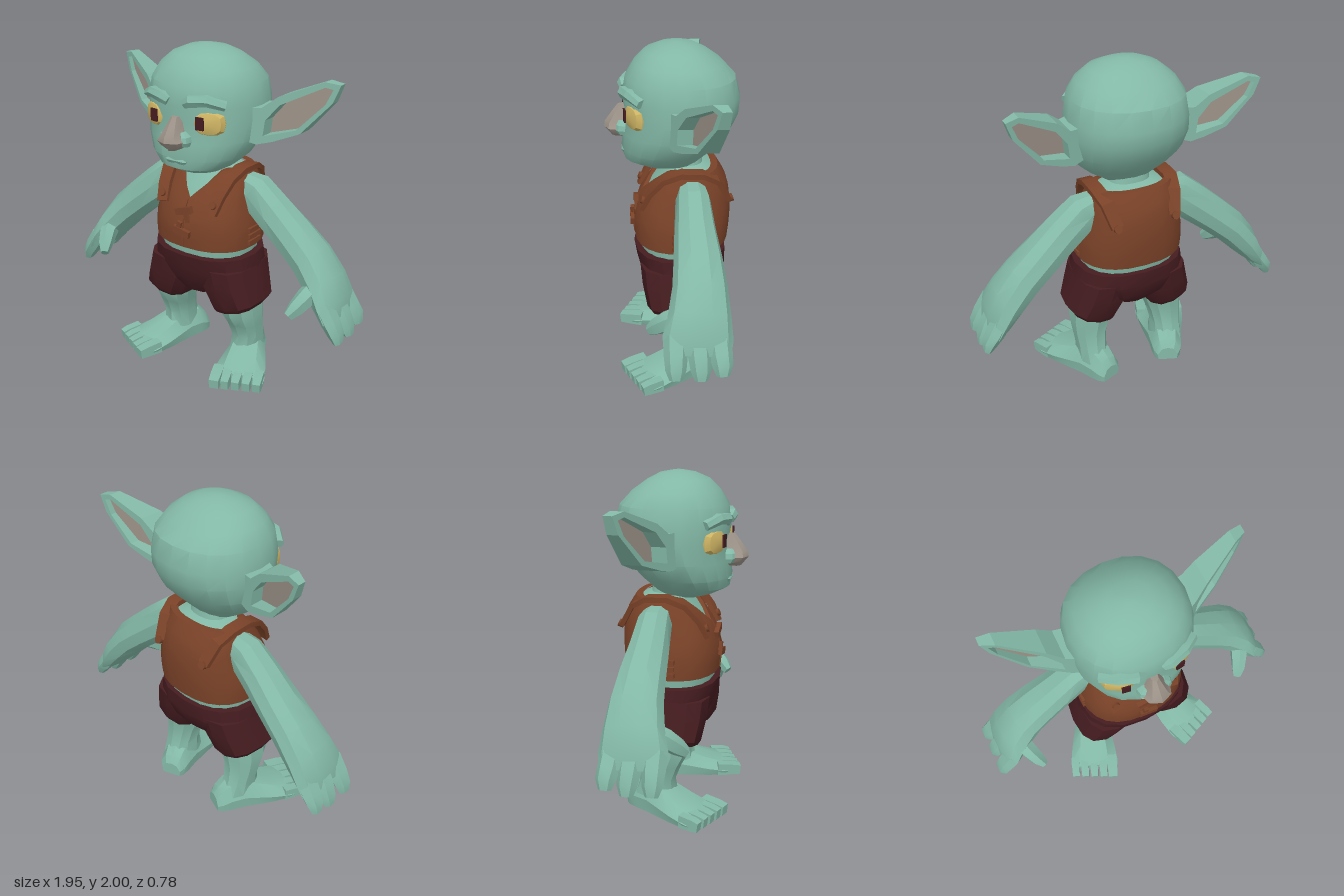
import * as THREE from 'three';
import { toCreasedNormals } from 'three/addons/utils/BufferGeometryUtils.js';

const V = (x, y, z) => new THREE.Vector3(x, y, z);
const material = (name, color) => {
  const m = new THREE.MeshStandardMaterial({ color });
  m.name = name;
  return m;
};

// Superellipse coordinates on a unit circle
const bend = (v, p) => Math.sign(v) * Math.pow(Math.abs(v), 2 / p);
const unit = (i, n, p, turn = 0) => {
  const t = ((i + turn) / n) * Math.PI * 2;
  return [bend(Math.sin(t), p), bend(Math.cos(t), p)];
};

// Skin over a list of point rings, wound outwards
function loft(rings, caps = true, crease = 0.5) {
  const n = rings[0].length, pos = [];
  const tri = (a, b, c) => pos.push(...a.toArray(), ...b.toArray(), ...c.toArray());
  for (let r = 0; r < rings.length - 1; r++) for (let i = 0; i < n; i++) {
    const j = (i + 1) % n, A = rings[r], B = rings[r + 1];
    tri(A[i], A[j], B[j]);
    tri(A[i], B[j], B[i]);
  }
  if (caps) [rings[0], rings[rings.length - 1]].forEach((R, end) => {
    const c = R.reduce((s, p) => s.add(p), V(0, 0, 0)).divideScalar(n);
    for (let i = 0; i < n; i++) {
      const j = (i + 1) % n;
      end ? tri(c, R[i], R[j]) : tri(c, R[j], R[i]);
    }
  });
  let volume = 0;
  for (let k = 0; k < pos.length; k += 9)
    volume += V(...pos.slice(k, k + 3)).dot(V(...pos.slice(k + 3, k + 6)).cross(V(...pos.slice(k + 6, k + 9))));
  const g = new THREE.BufferGeometry();
  g.setAttribute('position', new THREE.Float32BufferAttribute(pos, 3));
  if (volume < 0) flip(g);
  return toCreasedNormals(g, crease);
}

function flip(g) {
  for (const a of Object.values(g.attributes)) for (let k = 0; k < a.count; k += 3)
    for (let c = 0; c < a.itemSize; c++) {
      const t = a.getComponent(k + 1, c);
      a.setComponent(k + 1, c, a.getComponent(k + 2, c));
      a.setComponent(k + 2, c, t);
    }
  return g;
}

// Level ring: height, centre x, half width, front z, back z; tilt lifts the outer side
const ring = ([y, cx, hw, zf, zb, tilt = 0], n, p = 2.2) => Array.from({ length: n }, (_, i) => {
  const [s, c] = unit(i, n, p);
  return V(cx + hw * s, y + tilt * s, (zf + zb) / 2 + ((zf - zb) / 2) * c);
});
const stack = (rows, n, p) => loft(rows.map(r => ring(r, n, p)));

// Limb along stations [x, y, z, thickness radius, width radius]; ref is the width direction
function limb(stations, ref, n = 8, p = 2.2, turn = 0) {
  const pts = stations.map(s => V(s[0], s[1], s[2]));
  return loft(stations.map((s, k) => {
    const T = pts[Math.min(k + 1, pts.length - 1)].clone().sub(pts[Math.max(k - 1, 0)]).normalize();
    const u = ref.clone().addScaledVector(T, -T.dot(ref)).normalize(), v = T.clone().cross(u);
    return Array.from({ length: n }, (_, i) => {
      const [a, b] = unit(i, n, p, turn);
      return pts[k].clone().addScaledVector(v, a * s[3]).addScaledVector(u, b * s[4]);
    });
  }));
}
const strip = (stations, ref) => limb(stations, ref, 4, 2, 0.5);

const X = V(1, 0, 0), Y = V(0, 1, 0), Z = V(0, 0, 1);

// Torso measurements: y, half width, front z, back z
const TORSO = [[0.7, 0.31, 0.21, -0.31], [0.82, 0.325, 0.225, -0.33], [0.95, 0.33, 0.235, -0.345],
  [1.08, 0.3, 0.2, -0.345], [1.18, 0.28, 0.14, -0.33], [1.26, 0.265, 0.07, -0.29], [1.31, 0.23, 0.03, -0.25]];
function torsoAt(y) {
  let k = 0;
  while (k < TORSO.length - 2 && y > TORSO[k + 1][0]) k++;
  const a = TORSO[k], b = TORSO[k + 1], t = (y - a[0]) / (b[0] - a[0]);
  return a.map((v, i) => v + (b[i] - v) * t);
}

export function createModel() {
  const root = new THREE.Group();
  root.name = 'goblin';
  const skin = material('green skin', 0x83b8a6), leather = material('brown leather', 0x7a4228);
  const cloth = material('maroon cloth', 0x451c20), grey = material('grey skin', 0x9c9288);
  const yellow = material('yellow eye', 0xcfb564);
  grey.side = THREE.DoubleSide;

  const add = (name, g, mat) => {
    const m = new THREE.Mesh(g, mat);
    m.name = name;
    root.add(m);
  };
  const pair = (name, g, mat) => {
    const flat = g.index ? g.toNonIndexed() : g;
    add('left' + name, flat, mat);
    add('right' + name, flip(flat.clone().scale(-1, 1, 1)), mat);
  };
  const box = (w, h, d, x, y, z, rz = 0, ry = 0) =>
    new THREE.BoxGeometry(w, h, d).rotateZ(rz).rotateY(ry).translate(x, y, z);

  // Head
  add('head', stack([[1.265, 0, 0.07, 0.1, -0.12], [1.295, 0, 0.145, 0.19, -0.14], [1.34, 0, 0.22, 0.28, -0.18],
    [1.4, 0, 0.285, 0.292, -0.24], [1.5, 0, 0.335, 0.285, -0.33], [1.61, 0, 0.35, 0.27, -0.38],
    [1.7, 0, 0.348, 0.285, -0.388], [1.81, 0, 0.33, 0.265, -0.36], [1.89, 0, 0.28, 0.215, -0.285],
    [1.95, 0, 0.205, 0.155, -0.2], [1.985, 0, 0.12, 0.075, -0.13], [2, 0, 0.03, 0, -0.05]], 20), skin);
  add('nose', stack([[1.46, 0, 0.032, 0.345, 0.2], [1.485, 0, 0.075, 0.365, 0.2], [1.515, 0, 0.088, 0.39, 0.2],
    [1.545, 0, 0.065, 0.385, 0.2], [1.6, 0, 0.042, 0.345, 0.2], [1.645, 0, 0.025, 0.31, 0.2]], 8, 2.2), grey);
  pair('Nostril', stack([[1.485, 0.07, 0.024, 0.31, 0.22], [1.51, 0.072, 0.03, 0.325, 0.22],
    [1.54, 0.068, 0.028, 0.32, 0.22], [1.565, 0.05, 0.012, 0.305, 0.22]], 8), skin);
  add('lip', limb([[-0.12, 1.395, 0.235, 0.008, 0.02], [-0.05, 1.388, 0.272, 0.02, 0.022],
    [0.05, 1.388, 0.272, 0.02, 0.022], [0.12, 1.395, 0.235, 0.008, 0.02]], Z, 6), skin);
  pair('Brow', limb([[0.055, 1.72, 0.265, 0.028, 0.03], [0.09, 1.74, 0.265, 0.035, 0.045],
    [0.18, 1.75, 0.235, 0.032, 0.045], [0.26, 1.722, 0.175, 0.026, 0.04]], Z, 6, 3), skin);
  pair('Eye', limb([[0.167, 1.62, 0.18, 0.093, 0.077], [0.179, 1.62, 0.213, 0.093, 0.077],
    [0.191, 1.62, 0.24, 0.072, 0.06], [0.196, 1.62, 0.25, 0.035, 0.03]], Y, 12, 2.6), yellow);
  pair('Pupil', box(0.048, 0.072, 0.0095, 0.157, 1.625, 0.273, 0, 0.14), cloth);

  // Ears: a rim, deep at the head and thin at the tip, around a thin grey membrane
  const outer = [[0.3, 1.69], [0.38, 1.69], [0.46, 1.755], [0.68, 1.845], [0.755, 1.83], [0.72, 1.73],
    [0.57, 1.55], [0.44, 1.5], [0.36, 1.48], [0.3, 1.5]].map(p => new THREE.Vector2(...p));
  const inner = [[0.39, 1.53], [0.55, 1.57], [0.685, 1.72], [0.72, 1.805], [0.68, 1.815], [0.47, 1.71],
    [0.4, 1.62]].map(p => new THREE.Vector2(...p));
  const sweepBack = g => {
    const p = g.attributes.position;
    for (let i = 0; i < p.count; i++) {
      const t = (0.755 - p.getX(i)) / 0.42;
      p.setZ(i, p.getZ(i) * (0.05 + 0.14 * t) - 0.215 + 0.15 * t);
    }
    g.computeVertexNormals();
    return g;
  };
  const rim = new THREE.Shape(outer);
  rim.holes.push(new THREE.Path(inner));
  pair('EarRim', sweepBack(new THREE.ExtrudeGeometry(rim, { depth: 1, bevelEnabled: false }).translate(0, 0, -0.5)), skin);
  pair('EarInside', sweepBack(new THREE.ShapeGeometry(new THREE.Shape(inner))), grey);

  // Torso and neck
  add('torso', stack([...TORSO.slice(0, 6).map(([y, w, f, b]) => [y, 0, w - 0.025, f - 0.025, b + 0.025]),
    [1.285, 0, 0.17, 0.03, -0.22], [1.3, 0, 0.125, 0.02, -0.18], [1.36, 0, 0.115, 0.02, -0.17]], 20, 2.4), skin);

  // Vest with a V neck; the last ring folds inwards as its edge
  const rows = Array.from({ length: 9 }, (_, k) => Array.from({ length: 24 }, (_, i) => {
    const [s, c] = unit(i, 24, 2.4);
    const top = c > 0 ? 1.12 + 0.17 * Math.min(1, Math.abs(s) / 0.6) : 1.29;
    const y = 0.83 + (top - 0.83) * Math.min(1, Math.max(0, (k - 1) / 6));
    const [, w, f, b] = torsoAt(y), off = k === 0 || k === 8 ? -0.04 : 0;
    return V((w + off) * s, y, (f + b) / 2 + ((f - b) / 2 + off) * c);
  }));
  add('vest', loft(rows, false), leather);
  pair('VestStrap', strip([[0.175, 1.07, 0.187, 0.02, 0.05], [0.195, 1.17, 0.137, 0.02, 0.055],
    [0.215, 1.255, 0.062, 0.022, 0.058], [0.23, 1.295, -0.04, 0.022, 0.06], [0.23, 1.29, -0.16, 0.022, 0.06],
    [0.21, 1.245, -0.245, 0.02, 0.055], [0.18, 1.12, -0.318, 0.02, 0.05]], X), leather);
  const button = z => new THREE.CylinderGeometry(0.022, 0.025, 0.03, 8).rotateX(Math.PI / 2 - 0.4 * Math.sign(z)).translate(0.183, 1.12, z);
  pair('FrontButton', button(0.178), leather);
  pair('BackButton', button(-0.328), leather);
  add('vestSeam', strip([[0, 0.835, 0.225, 0.008, 0.008], [0, 0.95, 0.234, 0.008, 0.008],
    [0, 1.08, 0.2, 0.008, 0.008], [0, 1.12, 0.176, 0.008, 0.008]], Z), leather);
  for (const [y, z, a] of [[1.06, 0.215, 0.3], [0.935, 0.238, -0.2]]) {
    add('claspBar', box(0.115, 0.042, 0.028, 0, y, z, a), leather);
    add('claspLoop', box(0.03, 0.08, 0.02, a > 0 ? 0.02 : -0.02, y - a * 0.1, z, a), leather);
  }
  for (const y of [0.865, 0.905, 0.945]) pair('SideLace', box(0.022, 0.025, 0.12, 0.325, y, -0.04), leather);

  // Shorts
  add('shortsWaist', stack([[0.5, 0, 0.14, 0.13, -0.22], [0.58, 0, 0.27, 0.18, -0.29], [0.68, 0, 0.35, 0.215, -0.325],
    [0.775, 0, 0.335, 0.23, -0.325], [0.78, 0, 0.29, 0.19, -0.29]], 16, 2.4), cloth);
  pair('ShortsLeg', stack([[0.45, 0.255, 0.12, 0.12, -0.2, 0.03], [0.42, 0.255, 0.13, 0.145, -0.225, 0.03],
    [0.45, 0.255, 0.15, 0.165, -0.245, 0.035], [0.58, 0.205, 0.168, 0.19, -0.28, 0.02],
    [0.7, 0.18, 0.165, 0.2, -0.3]], 12, 2.6), cloth);

  // Legs and splayed feet
  pair('Leg', stack([[0.1, 0.26, 0.095, 0.03, -0.24], [0.2, 0.265, 0.092, 0.015, -0.2], [0.29, 0.262, 0.105, 0.05, -0.185],
    [0.37, 0.25, 0.12, 0.095, -0.19], [0.52, 0.225, 0.13, 0.11, -0.2]], 10, 2.4), skin);
  const place = g => g.rotateY(0.36).translate(0.26, 0, -0.115);
  // Foot sections: z, half width, height
  const foot = [[-0.165, 0.065, 0.09], [-0.135, 0.088, 0.14], [-0.08, 0.1, 0.19], [0.01, 0.11, 0.2],
    [0.1, 0.13, 0.165], [0.2, 0.15, 0.12], [0.3, 0.163, 0.085], [0.335, 0.16, 0.07]];
  pair('Foot', place(loft(foot.map(([z, w, h]) => [[-0.92, 0], [-1, 0.4], [-0.6, 0.88], [0, 1], [0.6, 0.88], [1, 0.4], [0.92, 0]]
    .map(([a, b]) => V(a * w, b * h, z))))), skin);
  for (let i = 0; i < 5; i++) {
    const x = -0.124 + i * 0.064, w = i ? 0.036 : 0.046, end = 0.42 - i * 0.006;
    pair('Toe', place(strip([[x, 0.04, 0.27, 0.056, w], [x, 0.036, 0.36, 0.05, w], [x, 0.03, end, 0.042, w * 0.9]], X)), skin);
  }

  // Arms, fingers and thumbs
  pair('Arm', limb([[0.2, 1.2, -0.1, 0.07, 0.08], [0.29, 1.15, -0.1, 0.12, 0.1], [0.42, 1.045, -0.1, 0.12, 0.115],
    [0.56, 0.93, -0.105, 0.115, 0.135], [0.68, 0.825, -0.105, 0.112, 0.15], [0.78, 0.71, -0.095, 0.1, 0.17],
    [0.85, 0.61, -0.08, 0.075, 0.19], [0.89, 0.53, -0.075, 0.04, 0.18]], Z, 10), skin);
  [[-0.19, -0.205, 0.44], [-0.08, -0.09, 0.415], [0.04, 0.045, 0.425]].forEach(([z0, z1, y]) =>
    pair('Finger', limb([[0.84, 0.63, z0, 0.055, 0.065], [0.9, 0.54, (z0 + z1) / 2, 0.052, 0.064],
      [0.94, y + 0.05, z1, 0.042, 0.056], [0.957, y, z1, 0.024, 0.036]], Z, 6), skin));
  pair('Thumb', limb([[0.775, 0.715, -0.02, 0.055, 0.06], [0.75, 0.665, 0.065, 0.055, 0.06],
    [0.72, 0.61, 0.13, 0.045, 0.05], [0.695, 0.57, 0.17, 0.026, 0.032]], Y, 6), skin);

  return root;
}
